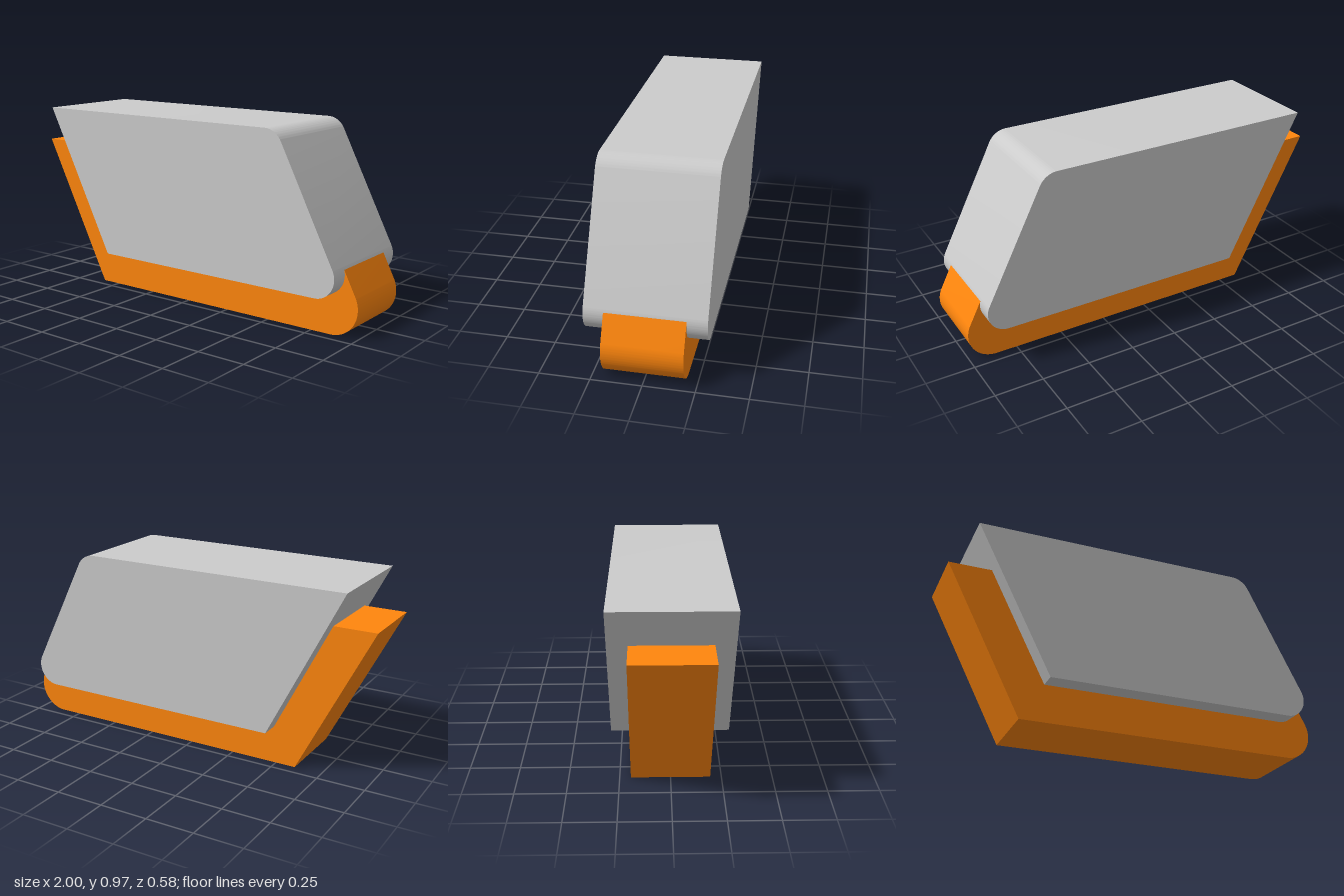
import * as THREE from 'three';
import { toCreasedNormals } from 'three/addons/utils/BufferGeometryUtils.js';

// Leaning slab: sheared rectangle with both right-hand corners rounded
function leaningSlab(name, { left, right, bottom, top, lean, radius, depth, color }) {
  const tilt = Math.atan2(lean, top - bottom); // direction of the right edge's normal
  const bottomInset = radius * Math.tan((Math.PI / 2 + tilt) / 2);
  const topInset = radius * Math.tan((Math.PI / 2 - tilt) / 2);

  const shape = new THREE.Shape();
  shape.moveTo(left - lean, top);
  shape.lineTo(left, bottom);
  shape.absarc(right - bottomInset, bottom + radius, radius, -Math.PI / 2, tilt, false);
  shape.absarc(right - lean - topInset, top - radius, radius, tilt, Math.PI / 2, false);
  shape.closePath();

  const geometry = new THREE.ExtrudeGeometry(shape, { depth, bevelEnabled: false, curveSegments: 24 });
  geometry.translate(0, 0, -depth / 2);
  const mesh = new THREE.Mesh(
    toCreasedNormals(geometry, 0.5),
    new THREE.MeshStandardMaterial({ color })
  );
  mesh.name = name;
  return mesh;
}

export function createModel() {
  const group = new THREE.Group();
  group.name = 'leaningBlock';

  // Wide grey body
  group.add(leaningSlab('body', {
    left: -0.485, right: 0.992, bottom: 0.196, top: 0.967,
    lean: 0.395, radius: 0.104, depth: 0.585, color: 0xcccccc,
  }));

  // Narrower orange base, its right edge just inside the body's
  group.add(leaningSlab('base', {
    left: -0.605, right: 1.09, bottom: 0, top: 0.771,
    lean: 0.395, radius: 0.142, depth: 0.39, color: 0xff860d,
  }));

  return group;
}
